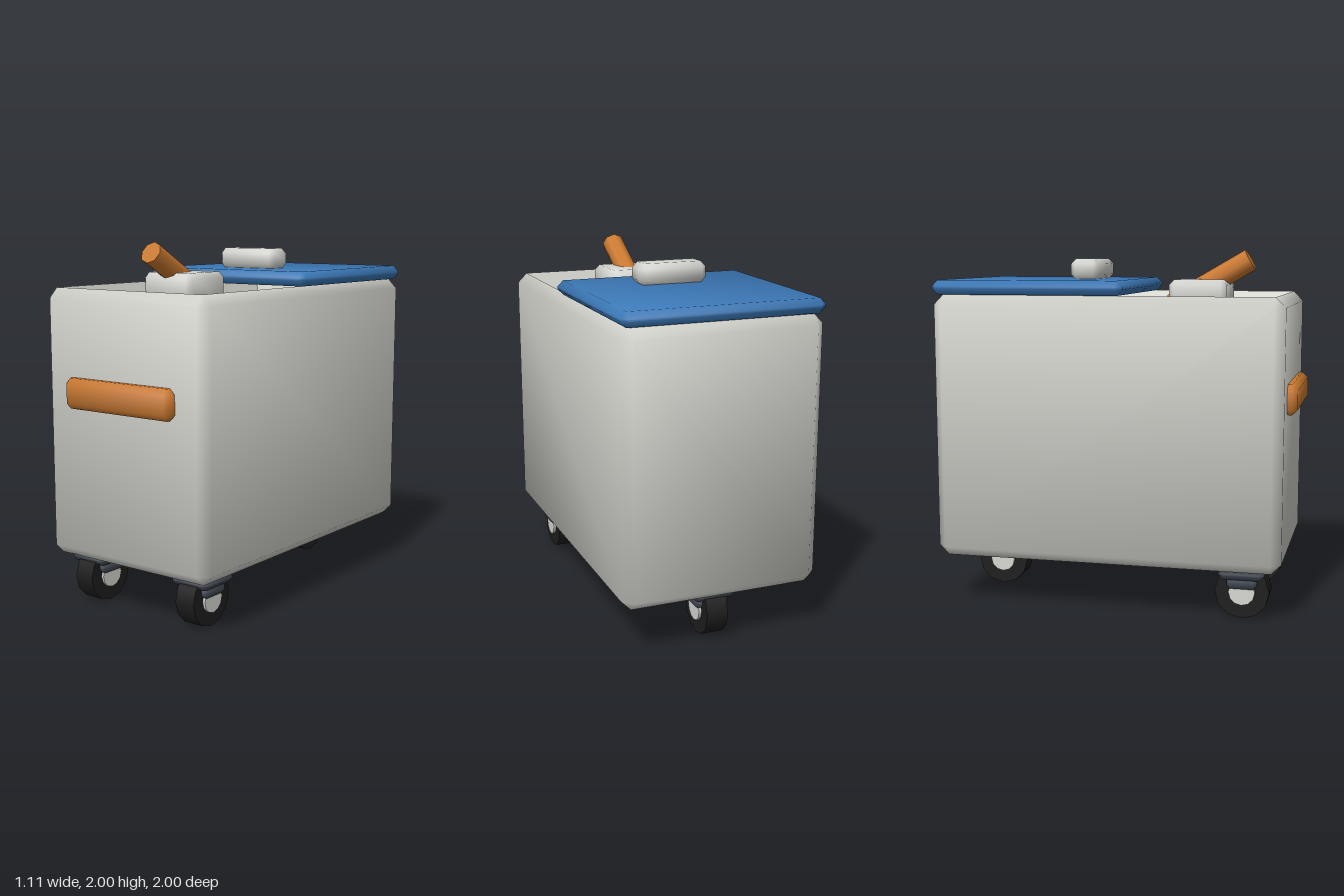
import * as THREE from 'three';

const mat = (name, color, side = THREE.FrontSide) => {
  const m = new THREE.MeshStandardMaterial({ color, side });
  m.name = name;
  return m;
};

// Box with one softly shaded chamfer on every edge; the top face can be left out.
function bevelBox(w, h, d, b, openTop = false) {
  const half = [w / 2, h / 2, d / 2], pos = [], nor = [], idx = [];
  for (let k = 0; k < 3; k++) {
    for (let bits = 0; bits < 8; bits++) {
      const n = new THREE.Vector3();
      for (let j = 0; j < 3; j++) {
        const s = (bits >> j) & 1 ? 1 : -1;
        pos.push(s * (half[j] - (j === k ? 0 : b)));
        n.setComponent(j, s * (j === k ? 1 : 0.39));
      }
      nor.push(...n.normalize().toArray());
    }
  }
  const at = (i) => new THREE.Vector3().fromArray(pos, i * 3);
  const tri = (i, j, k) => {
    const A = at(i), B = at(j), C = at(k);
    const n = B.clone().sub(A).cross(C.clone().sub(A));
    if (n.dot(A.add(B).add(C)) > 0) idx.push(i, j, k);
    else idx.push(i, k, j);
  };
  const quad = (i, j, k, l) => { tri(i, j, k); tri(i, k, l); };
  for (let k = 0; k < 3; k++) {
    const u = (k + 1) % 3, v = (k + 2) % 3, K = 1 << k, U = 1 << u, V = 1 << v;
    // flat faces
    for (const s of [0, K]) {
      if (openTop && k === 1 && s) continue;
      const o = k * 8 + s;
      quad(o, o + U, o + U + V, o + V);
    }
    // chamfers running along axis k
    for (const su of [0, U]) for (const sv of [0, V]) {
      const o = su + sv;
      quad(u * 8 + o, u * 8 + o + K, v * 8 + o + K, v * 8 + o);
    }
  }
  // corners
  for (let bits = 0; bits < 8; bits++) tri(bits, 8 + bits, 16 + bits);
  const g = new THREE.BufferGeometry();
  g.setAttribute('position', new THREE.Float32BufferAttribute(pos, 3));
  g.setAttribute('normal', new THREE.Float32BufferAttribute(nor, 3));
  g.setIndex(idx);
  return g;
}

// Four flat walls narrowing from the rim down to the filling
function cavityWalls(x, z0, z1, yTop, yBottom, inset) {
  const ring = (y, i) => [[-x + i, y, z0 + i], [x - i, y, z0 + i], [x - i, y, z1 - i], [-x + i, y, z1 - i]];
  const top = ring(yTop, 0), low = ring(yBottom, inset), pos = [];
  for (let i = 0; i < 4; i++) {
    const j = (i + 1) % 4;
    pos.push(...top[i], ...low[i], ...low[j], ...top[i], ...low[j], ...top[j]);
  }
  const g = new THREE.BufferGeometry();
  g.setAttribute('position', new THREE.Float32BufferAttribute(pos, 3));
  g.computeVertexNormals();
  return g;
}

export function createModel() {
  const model = new THREE.Group();
  model.name = 'rollingBin';
  const shell = mat('light grey shell', 0xd0d0ca, THREE.DoubleSide);
  const pale = mat('pale grey fittings', 0xd6d6d2);
  const blue = mat('blue lid', 0x3c79b8);
  const orange = mat('orange handles', 0xcc7a30);
  const sand = mat('sand filling', 0xd0ba8c);
  const steel = mat('dark steel', 0x414852);
  const rubber = mat('black rubber', 0x1e1e1e);

  const add = (parent, name, geo, material, x = 0, y = 0, z = 0) => {
    const m = new THREE.Mesh(geo, material);
    m.name = name;
    m.position.set(x, y, z);
    parent.add(m);
    return m;
  };
  // bevelled box given by its limits on each axis
  const block = (parent, name, material, [x0, x1], [y0, y1], [z0, z1], b, open) =>
    add(parent, name, bevelBox(x1 - x0, y1 - y0, z1 - z0, b, open), material,
      (x0 + x1) / 2, (y0 + y1) / 2, (z0 + z1) / 2);

  // bin body and contents
  block(model, 'body', shell, [-0.555, 0.555], [0.28, 1.755], [-1, 0.945], 0.055, true);
  add(model, 'innerWalls', cavityWalls(0.5, -0.945, 0.89, 1.755, 1.63, 0.06), shell);
  block(model, 'filling', sand, [-0.445, 0.445], [1.5, 1.65], [-0.89, 0.835], 0.015);

  // half-length lid with its grip
  block(model, 'lid', blue, [-0.555, 0.555], [1.755, 1.835], [-1, 0.08], 0.033);
  block(model, 'lidGrip', pale, [-0.195, 0.195], [1.83, 1.95], [-0.305, -0.14], 0.03);

  // front pull bar
  block(model, 'frontHandle', orange, [-0.365, 0.365], [1.12, 1.285], [0.9, 1], 0.03);

  // scoop lying in the filling, with a slanted handle
  block(model, 'scoop', pale, [-0.167, 0.167], [1.65, 1.835], [0.255, 0.58], 0.03);
  const rod = add(model, 'scoopHandle', new THREE.CylinderGeometry(0.063, 0.063, 0.51, 8), orange, 0, 1.817, 0.472);
  rod.rotation.x = Math.PI / 3;

  // casters: two in front, one at the back
  for (const [x, z] of [[-0.36, 0.725], [0.36, 0.725], [0, -0.775]]) {
    const caster = new THREE.Group();
    caster.name = 'caster';
    caster.position.set(x, 0, z);
    model.add(caster);
    block(caster, 'mountPlate', steel, [-0.125, 0.125], [0.225, 0.285], [-0.125, 0.125], 0.025);
    block(caster, 'fork', steel, [-0.098, 0.098], [0.17, 0.235], [-0.083, 0.083], 0.018);
    const wheel = add(caster, 'wheel', new THREE.CylinderGeometry(0.15, 0.15, 0.12, 12), rubber, 0, 0.15, 0);
    const hub = add(caster, 'hub', new THREE.CylinderGeometry(0.073, 0.073, 0.15, 12), pale, 0, 0.15, 0);
    wheel.rotation.z = hub.rotation.z = Math.PI / 2;
    wheel.rotation.x = hub.rotation.x = Math.PI / 2;
  }
  return model;
}
